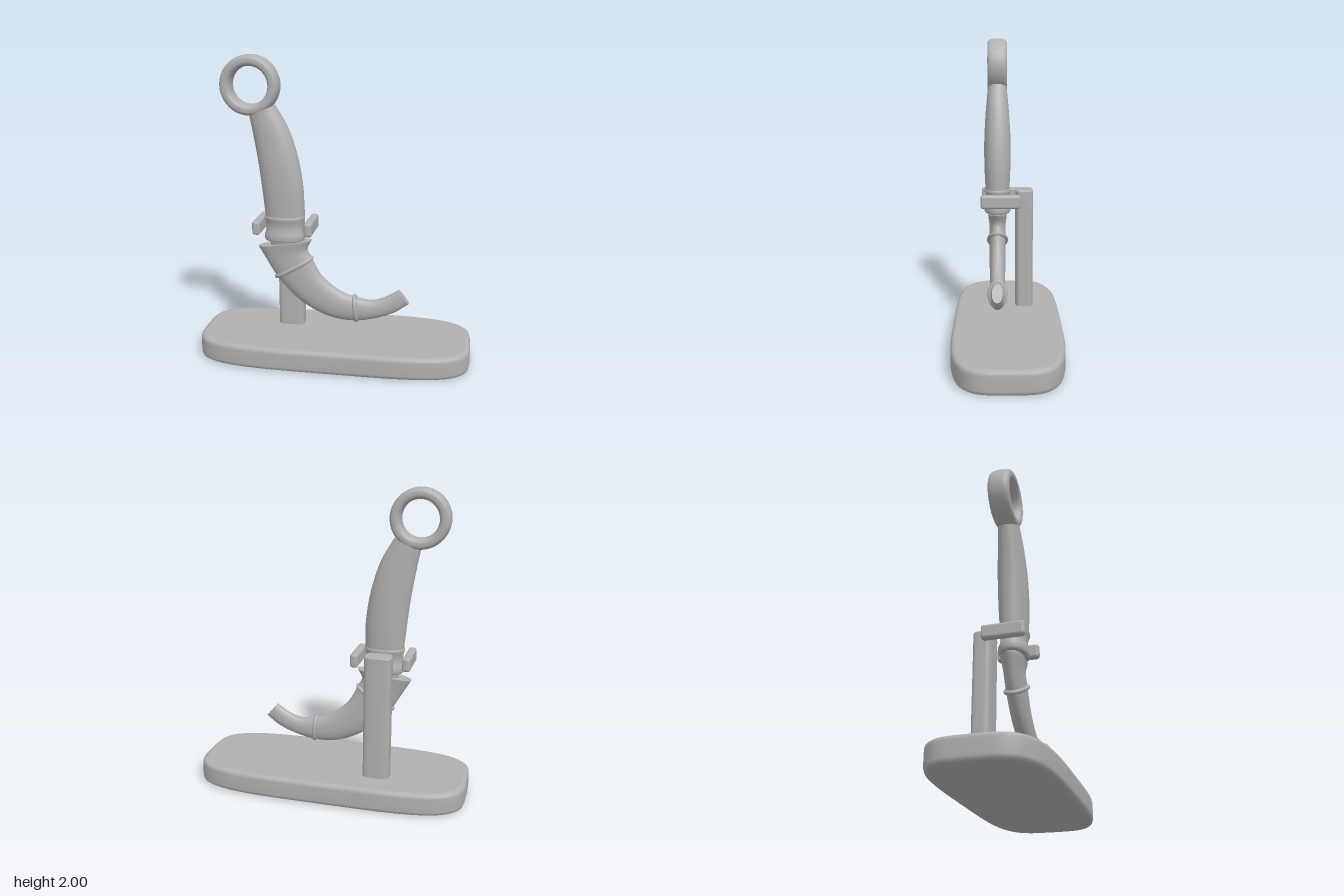
import * as THREE from 'three';
import { RoundedBoxGeometry } from 'three/addons/geometries/RoundedBoxGeometry.js';

const Z = 0.063; // depth of the knife's own centre plane
const grey = new THREE.MeshStandardMaterial({ color: 0xb0b0b0 });
grey.name = 'plain grey';

// Skin superellipse sections [leftX, leftY, rightX, rightY, halfDepth], listed from the top down
function loft(sections, z, power = 2, sides = 48) {
  const pos = [], index = [], n = sections.length;
  const bend = (v) => Math.sign(v) * Math.abs(v) ** (2 / power);
  const ring = ([lx, ly, rx, ry, h]) => {
    for (let j = 0; j < sides; j++) {
      const a = (j / sides) * Math.PI * 2, c = bend(Math.cos(a)) / 2;
      pos.push((lx + rx) / 2 + (rx - lx) * c, (ly + ry) / 2 + (ry - ly) * c, z + h * bend(Math.sin(a)));
    }
  };
  sections.forEach(ring);
  for (let i = 0; i < n - 1; i++) {
    for (let j = 0; j < sides; j++) {
      const k = (j + 1) % sides, a = i * sides, b = a + sides;
      index.push(a + j, a + k, b + k, a + j, b + k, b + j);
    }
  }
  // Flat end caps with their own corners
  for (const end of [0, n - 1]) {
    const s = sections[end], start = pos.length / 3;
    ring(s);
    pos.push((s[0] + s[2]) / 2, (s[1] + s[3]) / 2, z);
    for (let j = 0; j < sides; j++) {
      const p = start + j, q = start + (j + 1) % sides;
      index.push(start + sides, ...(end ? [p, q] : [q, p]));
    }
  }
  const g = new THREE.BufferGeometry();
  g.setAttribute('position', new THREE.Float32BufferAttribute(pos, 3));
  g.setIndex(index);
  g.computeVertexNormals();
  return g;
}

// Smoothly fill in sections between the key ones
function smooth(keys, steps = 5) {
  const line = (a) => new THREE.CatmullRomCurve3(keys.map((k) => new THREE.Vector3(k[a], k[a + 1], a ? k[4] : 0)));
  const left = line(0), right = line(2), count = (keys.length - 1) * steps;
  return Array.from({ length: count + 1 }, (_, i) => {
    const l = left.getPoint(i / count), r = right.getPoint(i / count);
    return [l.x, l.y, r.x, r.y, r.z];
  });
}

// Upright block with rounded plan and softened rims
function block(cx, cz, hx, hz, y0, y1, soft, power) {
  const rows = [[y1, 1], [y1 - soft * 0.12, 0.5], [y1 - soft * 0.4, 0.15], [y1 - soft, 0],
    [y0 + soft, 0], [y0 + soft * 0.4, 0.15], [y0 + soft * 0.12, 0.5], [y0, 1]];
  return loft(rows.map(([y, f]) => [cx - hx + f * soft, y, cx + hx - f * soft, y, hz - f * soft]), cz, power, 64);
}

export function createModel() {
  const model = new THREE.Group();
  model.name = 'curvedKnifeOnStand';
  const add = (name, geometry) => {
    const mesh = new THREE.Mesh(geometry, grey);
    mesh.name = name;
    model.add(mesh);
    return mesh;
  };

  // Stand
  add('base', block(0, -0.002, 0.905, 0.358, 0, 0.15, 0.03, 4));
  add('post', block(-0.323, -0.122, 0.088, 0.061, 0.13, 0.97, 0.012, 4));
  for (const [name, x] of [['rightClip', -0.492], ['leftClip', -0.153]]) {
    add(name, new RoundedBoxGeometry(0.052, 0.092, 0.268, 4, 0.018)).position.set(x, 0.907, 0.042);
  }

  // Finger ring: rounded rectangular profile turned about its axis
  const profile = [];
  for (let i = 0; i <= 32; i++) {
    const a = (i / 32) * Math.PI * 2, c = Math.cos(a), s = Math.sin(a);
    profile.push(new THREE.Vector2(0.1545 + 0.0355 * Math.sign(c) * Math.abs(c) ** 0.7,
      0.068 * Math.sign(s) * Math.abs(s) ** 0.7));
  }
  const ring = add('fingerRing', new THREE.LatheGeometry(profile, 64));
  ring.rotation.x = Math.PI / 2;
  ring.position.set(-0.532, 1.81, Z);

  // Curved grip
  add('grip', loft(smooth([
    [-0.54, 1.62, -0.375, 1.69, 0.066], [-0.515, 1.49, -0.29, 1.54, 0.079],
    [-0.486, 1.31, -0.228, 1.34, 0.09], [-0.465, 1.13, -0.198, 1.14, 0.09],
    [-0.45, 0.975, -0.196, 0.975, 0.083],
  ]), Z, 2.2));

  // Collar with two lips and a waist, then the neck entering the sheath
  add('collar', loft([
    [0.975, 0.125, 0.084], [0.97, 0.131, 0.09], [0.955, 0.131, 0.09], [0.94, 0.124, 0.082], [0.9, 0.12, 0.077],
    [0.865, 0.125, 0.083], [0.85, 0.132, 0.091], [0.82, 0.132, 0.091], [0.81, 0.124, 0.084],
  ].map(([y, w, h]) => [-0.325 - w, y, -0.325 + w, y, h]), Z, 2.2));
  add('neck', loft([[-0.425, 0.83, -0.215, 0.83, 0.06], [-0.415, 0.72, -0.21, 0.72, 0.05]], Z, 2.2));

  // Sheath with flared mouth
  add('sheath', loft(smooth([
    [-0.505, 0.76, -0.145, 0.815, 0.066], [-0.455, 0.675, -0.175, 0.75, 0.056],
    [-0.385, 0.56, -0.147, 0.69, 0.056], [-0.255, 0.415, -0.085, 0.575, 0.054],
    [-0.12, 0.325, 0.01, 0.49, 0.051], [0.01, 0.28, 0.07, 0.457, 0.049],
    [0.14, 0.27, 0.14, 0.436, 0.046], [0.275, 0.295, 0.25, 0.418, 0.042],
    [0.405, 0.345, 0.34, 0.447, 0.037], [0.497, 0.41, 0.425, 0.5, 0.032],
  ]), Z, 2.2));

  // Thin hoops around the sheath
  for (const [name, lx, ly, rx, ry, h] of [
    ['upperHoop', -0.385, 0.552, -0.15, 0.69, 0.06],
    ['lowerHoop', 0.154, 0.273, 0.138, 0.438, 0.05],
  ]) {
    const points = Array.from({ length: 32 }, (_, i) => {
      const a = (i / 32) * Math.PI * 2, c = Math.cos(a) / 2;
      return new THREE.Vector3((lx + rx) / 2 + (rx - lx) * c, (ly + ry) / 2 + (ry - ly) * c, Z + h * Math.sin(a));
    });
    add(name, new THREE.TubeGeometry(new THREE.CatmullRomCurve3(points, true), 64, 0.014, 10, true));
  }
  return model;
}
